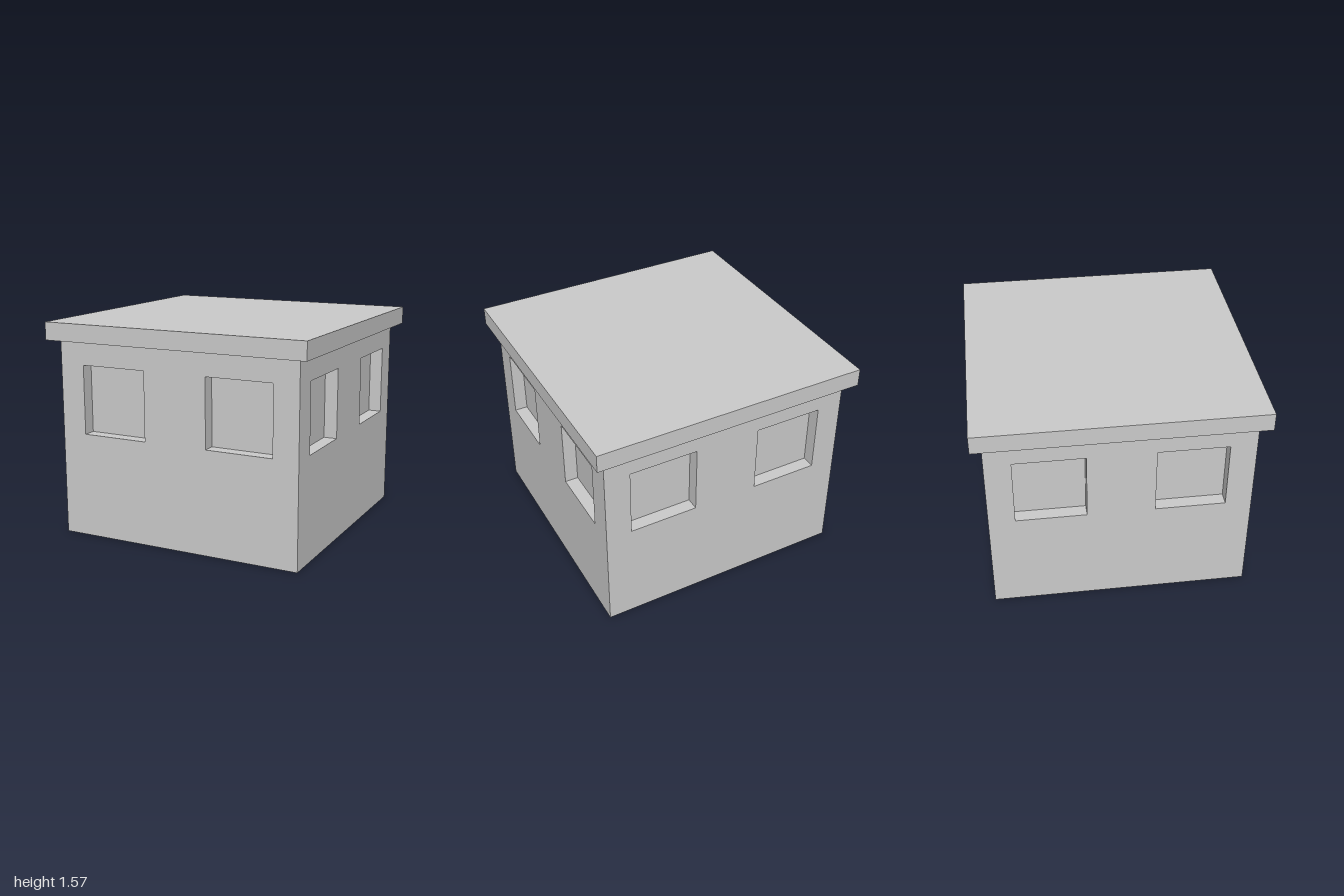
import * as THREE from 'three';

const HALF = 0.925, WALL_H = 1.44, DEPTH = 0.095;
const ROOF_W = 2, ROOF_H = 0.13;
const WIN = { x0: 0.24, x1: 0.738, y0: 0.763, y1: 1.267 };

const material = new THREE.MeshStandardMaterial({ color: 0xcccccc, flatShading: true });

function rectangle(PathType, x0, y0, x1, y1) {
  return new PathType([[x0, y0], [x1, y0], [x1, y1], [x0, y1]].map(([x, y]) => new THREE.Vector2(x, y)));
}

// Wall panel with two window openings, mitred at both ends
function wallGeometry() {
  const shape = rectangle(THREE.Shape, -HALF, 0, HALF, WALL_H);
  shape.holes.push(
    rectangle(THREE.Path, -WIN.x1, WIN.y0, -WIN.x0, WIN.y1),
    rectangle(THREE.Path, WIN.x0, WIN.y0, WIN.x1, WIN.y1)
  );
  const geometry = new THREE.ExtrudeGeometry(shape, { depth: DEPTH, bevelEnabled: false });
  const p = geometry.attributes.position;
  for (let i = 0; i < p.count; i++) {
    const x = p.getX(i);
    if (p.getZ(i) < DEPTH / 2 && Math.abs(x) > HALF - 0.01) p.setX(i, Math.sign(x) * (HALF - DEPTH));
  }
  geometry.translate(0, 0, HALF - DEPTH);
  geometry.computeVertexNormals();
  return geometry;
}

export function createModel() {
  const model = new THREE.Group();
  model.name = 'hut';
  const add = (name, geometry) => {
    const mesh = new THREE.Mesh(geometry, material);
    mesh.name = name;
    model.add(mesh);
    return mesh;
  };

  // Four identical walls
  const wall = wallGeometry();
  ['frontWall', 'leftWall', 'backWall', 'rightWall'].forEach((name, i) => {
    add(name, wall).rotation.y = i * Math.PI / 2;
  });

  // Solid core closes the floor and the backs of the window recesses
  const inner = 2 * (HALF - DEPTH);
  add('core', new THREE.BoxGeometry(inner, WALL_H, inner)).position.y = WALL_H / 2;

  // Overhanging flat roof slab
  add('roof', new THREE.BoxGeometry(ROOF_W, ROOF_H, ROOF_W)).position.y = WALL_H + ROOF_H / 2;

  return model;
}
